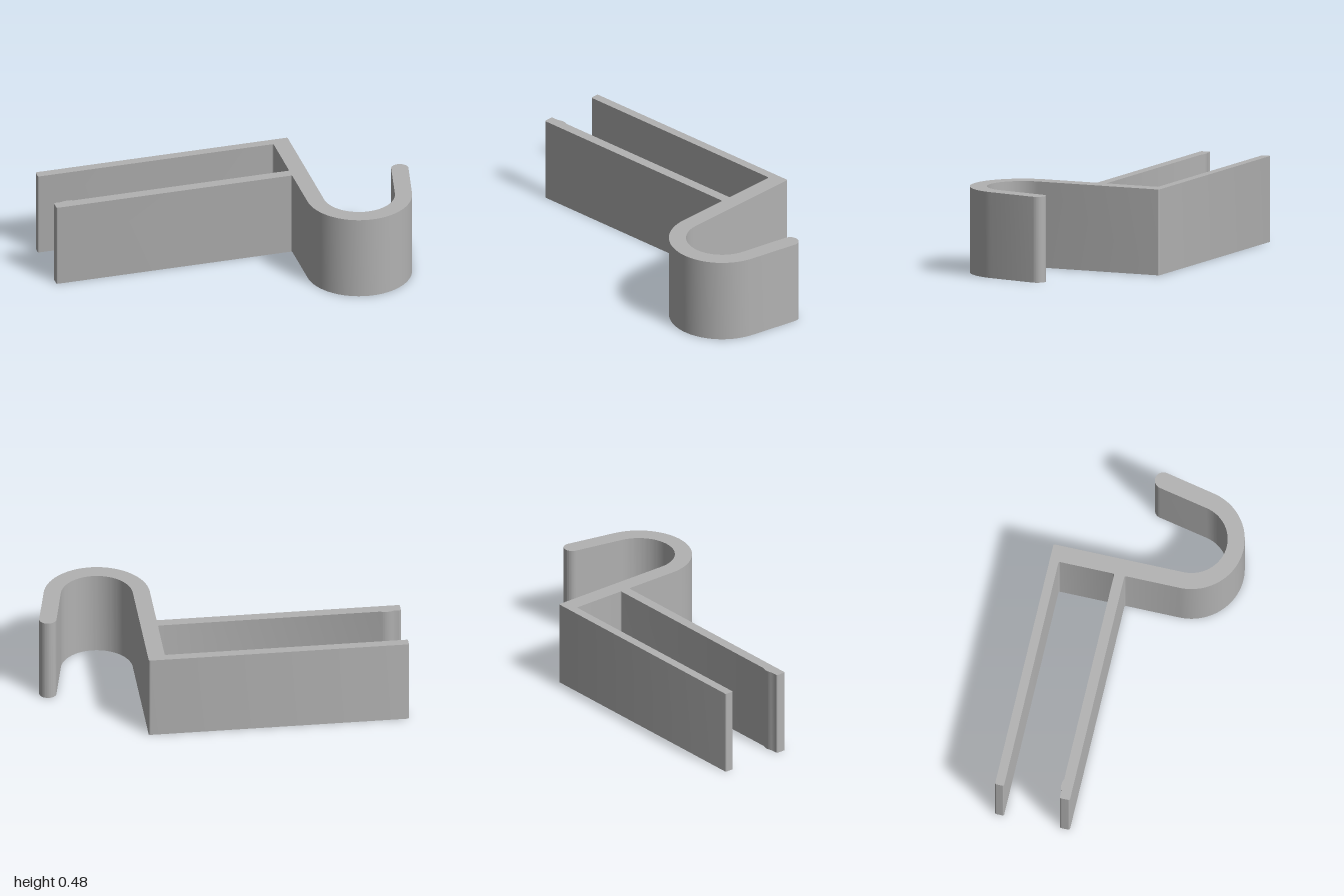
import * as THREE from 'three';
import { toCreasedNormals } from 'three/addons/utils/BufferGeometryUtils.js';

const HEIGHT = 0.48;

// Walk a list of corners [x, z], rounding each one; the last point is only aimed at.
function roundedRun(shape, points, r) {
  for (let i = 1; i < points.length - 1; i++) {
    const [a, p, b] = [points[i - 1], points[i], points[i + 1]].map(q => new THREE.Vector2(...q));
    const enter = p.clone().add(a.sub(p).setLength(r));
    const leave = p.clone().add(b.sub(p).setLength(r));
    shape.lineTo(enter.x, enter.y);
    shape.quadraticCurveTo(p.x, p.y, leave.x, leave.y);
  }
}

function clipProfile() {
  const s = new THREE.Shape();
  const cx = 0.65, cz = 0.22, inner = 0.2, outer = 0.295; // hook bend
  const lean = 0.2;                                       // outward lean of the hook arm
  const back = -0.517, r = 0.01;

  // Back of the long rear arm and the outer corner of the spine
  s.moveTo(-0.99, back);
  roundedRun(s, [[-0.99, back], [0.45, back], [0.45, cz]], r);

  // Inside of the hook, rounded tip, outside of the hook
  s.absarc(cx, cz, inner, Math.PI, lean, true);
  s.absarc(0.951, -0.008, 0.048, Math.PI + lean, 2 * Math.PI + lean, false);
  s.absarc(cx, cz, outer, lean, Math.PI, false);

  // Front arm with its small retaining ridge
  roundedRun(s, [[0.355, cz], [0.355, -0.092], [-1, -0.092], [-1, -0.15], [-0.95, -0.15]], r);
  s.lineTo(-0.955, -0.15);
  s.quadraticCurveTo(-0.92, -0.166, -0.885, -0.15);

  // Slot between the arms, back to the start
  roundedRun(s, [[-0.885, -0.15], [0.355, -0.15], [0.355, -0.466], [-1, -0.466], [-1, back], [-0.99, back]], 0.009);
  s.closePath();
  return s;
}

export function createModel() {
  const group = new THREE.Group();
  group.name = 'hookClip';

  const grey = new THREE.MeshStandardMaterial({ color: 0xb2b2b2 });
  grey.name = 'plain grey';

  // Upright extrusion: profile y becomes z, depth runs down to the ground
  let geometry = new THREE.ExtrudeGeometry(clipProfile(), {
    depth: HEIGHT, bevelEnabled: false, curveSegments: 32,
  });
  geometry.rotateX(Math.PI / 2);
  geometry.translate(0, HEIGHT, 0);
  geometry = toCreasedNormals(geometry, 0.5);

  const clip = new THREE.Mesh(geometry, grey);
  clip.name = 'clipArmsAndHook';
  group.add(clip);
  return group;
}
